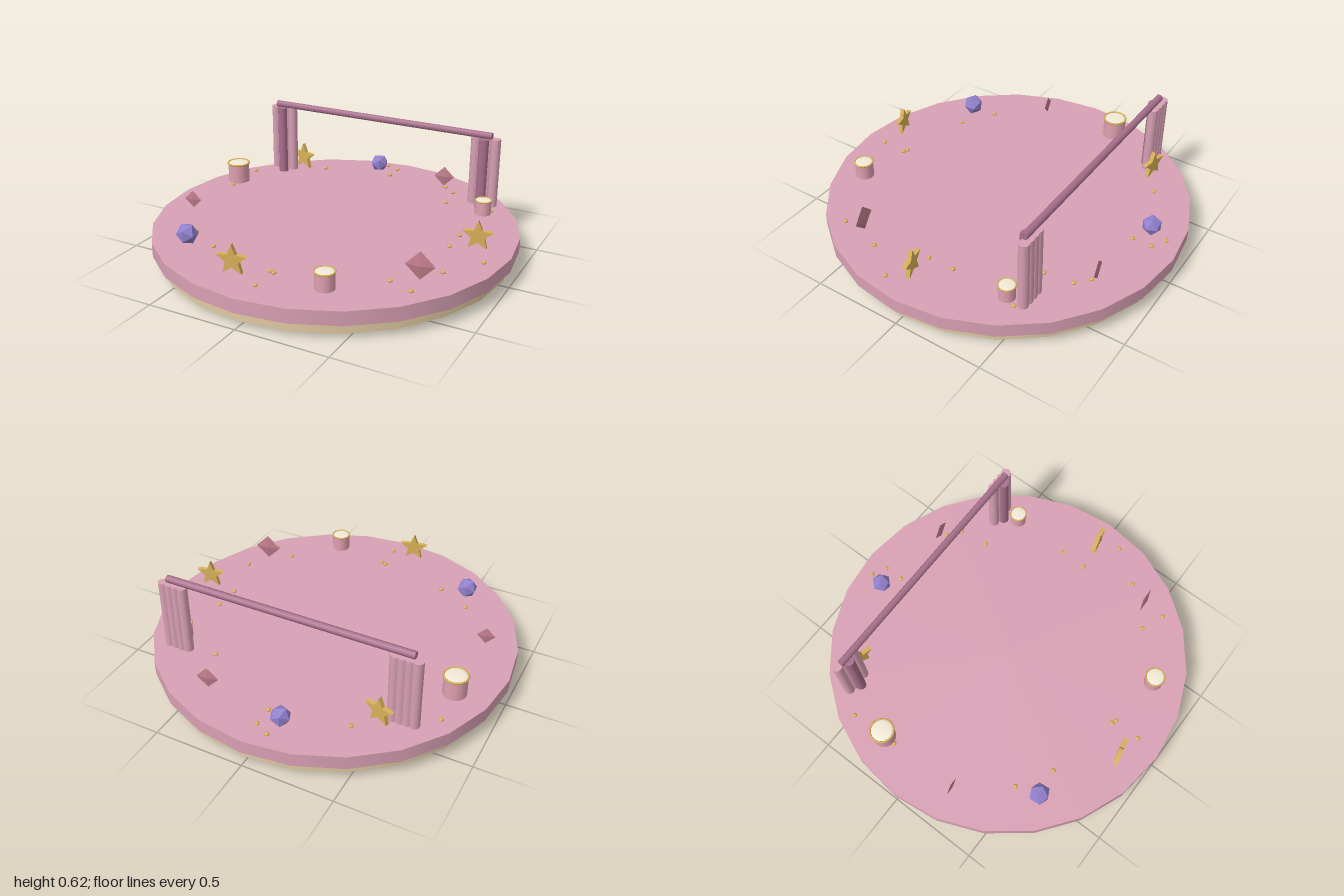
import * as THREE from 'three';

const mat = (color, flatShading = false) => new THREE.MeshStandardMaterial({ color, flatShading });
const pink = mat(0xd8a0b4), plum = mat(0xa8708c), cream = mat(0xe2caa2), gold = mat(0xd8b058);
const ivory = mat(0xf2ead8), cupPink = mat(0xe0a0b0);
const starGold = mat(0xd8b058, true), violet = mat(0x9080cc, true), rose = mat(0xc07c8c, true);

export function createModel() {
  const group = new THREE.Group();
  const add = (name, geometry, material, x, y, z, parent = group) => {
    const mesh = new THREE.Mesh(geometry, material);
    mesh.name = name;
    mesh.position.set(x, y, z);
    parent.add(mesh);
    return mesh;
  };
  const drum = (name, r, y0, y1, material, x = 0, z = 0, sides = 24, parent = group) =>
    add(name, new THREE.CylinderGeometry(r, r, y1 - y0, sides), material, x, (y0 + y1) / 2, z, parent);

  // Stepped round platform
  drum('platformFoot', 0.92, 0, 0.03, cream);
  drum('platformMiddle', 0.966, 0.03, 0.087, cream);
  drum('platformTop', 1, 0.087, 0.163, pink);

  // Curtain rod with gathered folds at each end
  const rod = add('curtainRod', new THREE.CylinderGeometry(0.02, 0.02, 1.375, 8), plum, 0, 0.603, -0.54);
  rod.rotation.z = Math.PI / 2;
  for (const side of [-1, 1]) {
    const curtain = new THREE.Group();
    curtain.name = side < 0 ? 'rightCurtain' : 'leftCurtain';
    group.add(curtain);
    for (let i = 0; i < 4; i++) {
      drum('curtainFold', 0.028, 0.19, 0.585, pink, side * (0.706 - i * 0.038), -0.553, 10, curtain);
    }
    drum('frontFold', 0.029, 0.175, 0.585, plum, side * 0.647, -0.525, 10, curtain);
  }

  // Cups with a gilded rim and a shallow domed filling
  for (const [x, z, r, y0, y1] of [
    [-0.79, -0.235, 0.065, 0.183, 0.295], [0.34, 0.745, 0.052, 0.183, 0.272], [0.69, -0.45, 0.046, 0.178, 0.257],
  ]) {
    const cup = new THREE.Group();
    cup.name = 'cup';
    group.add(cup);
    drum('cupBody', r * 0.97, y0, y1, cupPink, x, z, 16, cup);
    const rim = add('cupRim', new THREE.TorusGeometry(r * 0.97, r * 0.09, 6, 20), gold, x, y1, z, cup);
    rim.rotation.x = Math.PI / 2;
    const filling = add('cupFilling', new THREE.SphereGeometry(r * 0.92, 16, 6, 0, Math.PI * 2, 0, Math.PI / 2), ivory, x, y1, z, cup);
    filling.scale.y = 0.1;
  }

  // Five-pointed standing stars
  const outline = new THREE.Shape();
  for (let i = 0; i < 10; i++) {
    const r = i % 2 ? 0.036 : 0.082, a = Math.PI / 2 + i * Math.PI / 5;
    outline[i ? 'lineTo' : 'moveTo'](r * Math.cos(a), r * Math.sin(a));
  }
  const starGeometry = new THREE.ExtrudeGeometry(outline, { depth: 0.024, bevelEnabled: false });
  starGeometry.translate(0, 0, -0.012);
  for (const [x, z, yaw] of [[0.825, 0.02, 0.2], [-0.115, 0.83, 0.2], [-0.545, -0.605, -0.2]]) {
    add('star', starGeometry, starGold, x, 0.262, z).rotation.y = yaw;
  }

  // Faceted gems
  for (const [x, z, r, turn] of [[-0.12, -0.815, 0.055, 0.4], [-0.54, 0.62, 0.059, 0.1]]) {
    add('gem', new THREE.IcosahedronGeometry(r), violet, x, 0.222, z).rotation.y = turn;
  }

  // Thin upright diamonds
  for (const [x, z, r] of [[-0.79, 0.23, 0.05], [0.69, 0.445, 0.075], [0.34, -0.75, 0.06]]) {
    const diamond = add('diamond', new THREE.OctahedronGeometry(r), rose, x, 0.175 + r, z);
    diamond.scale.z = 0.15;
    diamond.rotation.y = 0.16;
  }

  // Scattered flattened beads
  const bead = new THREE.SphereGeometry(0.013, 10, 6);
  for (const [x, z] of [
    [-0.1, -0.91], [-0.02, -0.87], [-0.02, -0.76], [-0.43, -0.68], [0.36, -0.73], [0.43, -0.67], [0.45, -0.51],
    [0.72, -0.51], [-0.8, -0.44], [-0.79, -0.17], [0.68, -0.12], [0.68, 0.03], [0.9, 0.13], [0.76, 0.32],
    [0.57, 0.52], [0.7, 0.57], [-0.58, 0.49], [-0.39, 0.6], [0.015, 0.7], [0.04, 0.71], [0.03, 0.86],
  ]) {
    add('bead', bead, gold, x, 0.176, z).scale.y = 0.65;
  }

  return group;
}
